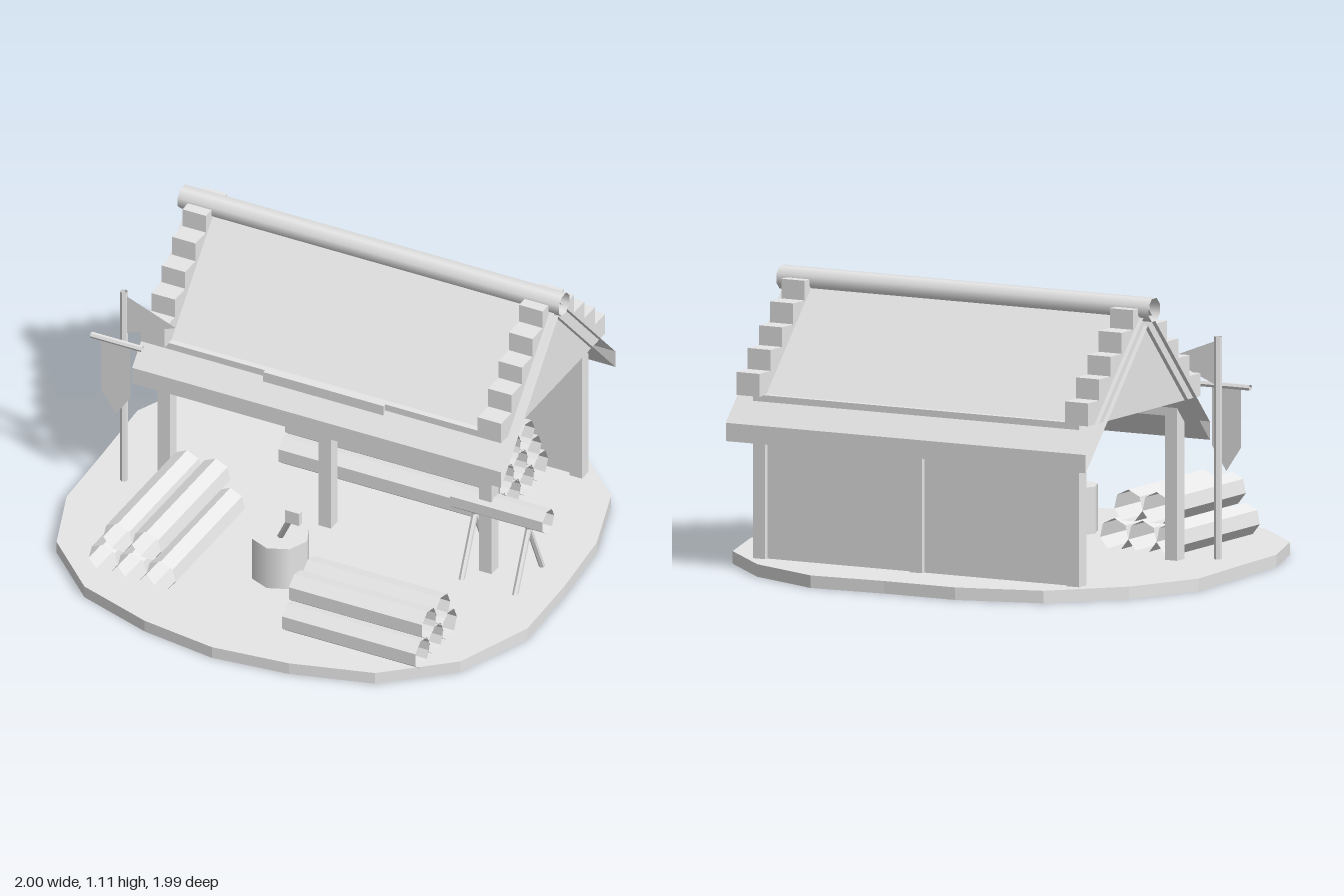
import * as THREE from 'three';

export function createModel() {
  const model = new THREE.Group();
  // double-sided because the logs, poles, roof ends and cloth are open
  const paleGrey = new THREE.MeshStandardMaterial({ color: 0xe7e7e7, side: THREE.DoubleSide });
  paleGrey.name = 'paleGrey';

  const add = (name, geo, parent = model) => {
    const m = new THREE.Mesh(geo, paleGrey);
    m.name = name;
    parent.add(m);
    return m;
  };
  // box from its minimum and maximum corners
  const box = (name, x0, x1, y0, y1, z0, z1) =>
    add(name, new THREE.BoxGeometry(x1 - x0, y1 - y0, z1 - z0)
      .translate((x0 + x1) / 2, (y0 + y1) / 2, (z0 + z1) / 2));
  // open rod between two points; spin turns its sides, flat facets it
  const rod = (name, a, b, r, sides, spin = 0, parent = model, flat = true) => {
    const A = new THREE.Vector3(...a), B = new THREE.Vector3(...b);
    const d = B.clone().sub(A);
    let g = new THREE.CylinderGeometry(r, r, d.length(), sides, 1, true).rotateY(spin);
    if (flat) {
      g = g.toNonIndexed();
      g.computeVertexNormals();
    }
    g.applyQuaternion(new THREE.Quaternion().setFromUnitVectors(new THREE.Vector3(0, 1, 0), d.normalize()));
    const mid = A.add(B).multiplyScalar(0.5);
    return add(name, g.translate(mid.x, mid.y, mid.z), parent);
  };

  // uneven round ground slab
  const rim = [[0, .99], [.31, .955], [.63, .865], [.88, .645], [1, .325], [.99, 0], [.96, -.32], [.86, -.63],
    [.62, -.86], [.31, -.995], [0, -.975], [-.31, -.975], [-.64, -.88], [-.87, -.63], [-1, -.33], [-.98, 0],
    [-.965, .32], [-.855, .615], [-.62, .84], [-.31, .945]];
  const ground = new THREE.Shape(rim.map(([x, z]) => new THREE.Vector2(x, -z)));
  add('ground', new THREE.ExtrudeGeometry(ground, { depth: 0.048, bevelEnabled: false }).rotateX(-Math.PI / 2));

  // posts, back wall and wall plates
  for (const x of [-0.688, -0.003, 0.681]) {
    box('frontPost', x - 0.027, x + 0.027, 0.048, 0.62, 0.002, 0.057);
    box('backPost', x - 0.027, x + 0.027, 0.048, 0.62, -0.74, -0.685);
  }
  box('backWall', -0.67, 0.66, 0.048, 0.64, -0.722, -0.702);
  box('frontBeam', -0.715, 0.708, 0.6, 0.675, 0, 0.052);
  box('backBeam', -0.715, 0.708, 0.6, 0.675, -0.74, -0.688);
  box('beamPlate', -0.26, 0.252, 0.627, 0.675, 0.01, 0.066);

  // open-ended roof shell from a (z, y) profile
  const profile = [[.125, .5], [.125, .57], [-.345, 1.07], [-.815, .57], [-.815, .5], [-.345, 1]];
  const roofPos = [];
  profile.forEach(([az, ay], i) => {
    const [bz, by] = profile[(i + 1) % profile.length];
    const x0 = -0.787, x1 = 0.783;
    roofPos.push(x0, ay, az, x1, ay, az, x1, by, bz, x0, ay, az, x1, by, bz, x0, by, bz);
  });
  const roof = new THREE.BufferGeometry();
  roof.setAttribute('position', new THREE.Float32BufferAttribute(roofPos, 3));
  roof.computeVertexNormals();
  add('roof', roof);

  // stepped gables
  const levels = [0.672, 0.76, 0.84, 0.915, 0.995, 1.07];
  const right = [], left = [];
  for (let i = 0; i < 5; i++) {
    const w = 0.427 - i * 0.085;
    for (const y of [levels[i], levels[i + 1]]) {
      right.push(new THREE.Vector2(0.342 + w, y));
      left.unshift(new THREE.Vector2(0.342 - w, y));
    }
  }
  for (const x of [-0.77, 0.663]) {
    const g = new THREE.ExtrudeGeometry(new THREE.Shape([...right, ...left]), { depth: 0.1, bevelEnabled: false });
    add('steppedGable', g.rotateY(Math.PI / 2).translate(x, 0, 0));
  }
  rod('ridgePole', [-0.815, 1.063, -0.345], [0.808, 1.063, -0.345], 0.047, 8, Math.PI / 8, model, false);

  // log piles: rows of seven-sided logs, each row one shorter than the one below
  const pile = (name, rows, pitch, rise, ends) => {
    const group = new THREE.Group();
    group.name = name;
    model.add(group);
    rows.forEach((count, row) => {
      for (let i = 0; i < count; i++) {
        const [a, b] = ends((i - (count - 1) / 2) * pitch, 0.102 + row * rise);
        rod('log', a, b, 0.063, 7, Math.PI, group);
      }
    });
  };
  pile('leftLogPile', [3, 2], 0.123, 0.114, (o, y) => [[-0.484 + o, y, 0.14], [-0.484 + o, y, 0.71]]);
  pile('rightLogPile', [3, 2], 0.111, 0.1, (o, y) => [[0.196, y, 0.623 + o], [0.763, y, 0.623 + o]]);
  pile('backLogPile', [4, 3, 2], 0.111, 0.1, (o, y) => [[-0.347, y, -0.45 + o], [0.567, y, -0.45 + o]]);

  // sawhorse with a log on it
  rod('sawLog', [0.538, 0.337, 0.028], [0.933, 0.337, 0.028], 0.05, 7, Math.PI);
  for (const x of [0.622, 0.85]) {
    rod('sawhorseLeg', [x, 0.02, 0.15], [x, 0.31, 0.015], 0.012, 6);
    rod('sawhorseLeg', [x, 0.02, -0.095], [x, 0.31, 0.04], 0.012, 6);
  }

  // chopping block and axe
  add('choppingBlock', new THREE.CylinderGeometry(0.113, 0.113, 0.18, 8).translate(-0.003, 0.138, 0.42));
  rod('axeHandle', [0, 0.22, 0.43], [0.1, 0.4, 0.522], 0.013, 6);
  box('axeHead', 0.077, 0.138, 0.373, 0.428, 0.515, 0.538);

  // banner pole with pennant and hanging banner
  rod('bannerPole', [-0.826, 0.048, 0.118], [-0.826, 0.9, 0.118], 0.015, 6);
  rod('bannerBar', [-0.935, 0.704, 0.175], [-0.718, 0.704, 0.175], 0.012, 6);
  const cloth = (name, pts, z) =>
    add(name, new THREE.ShapeGeometry(new THREE.Shape(pts.map((p) => new THREE.Vector2(...p)))).translate(0, 0, z));
  cloth('pennant', [[-0.812, 0.88], [-0.812, 0.715], [-0.605, 0.8]], 0.118);
  cloth('banner', [[-0.893, 0.7], [-0.893, 0.47], [-0.83, 0.377], [-0.768, 0.47], [-0.768, 0.7]], 0.175);

  return model;
}
